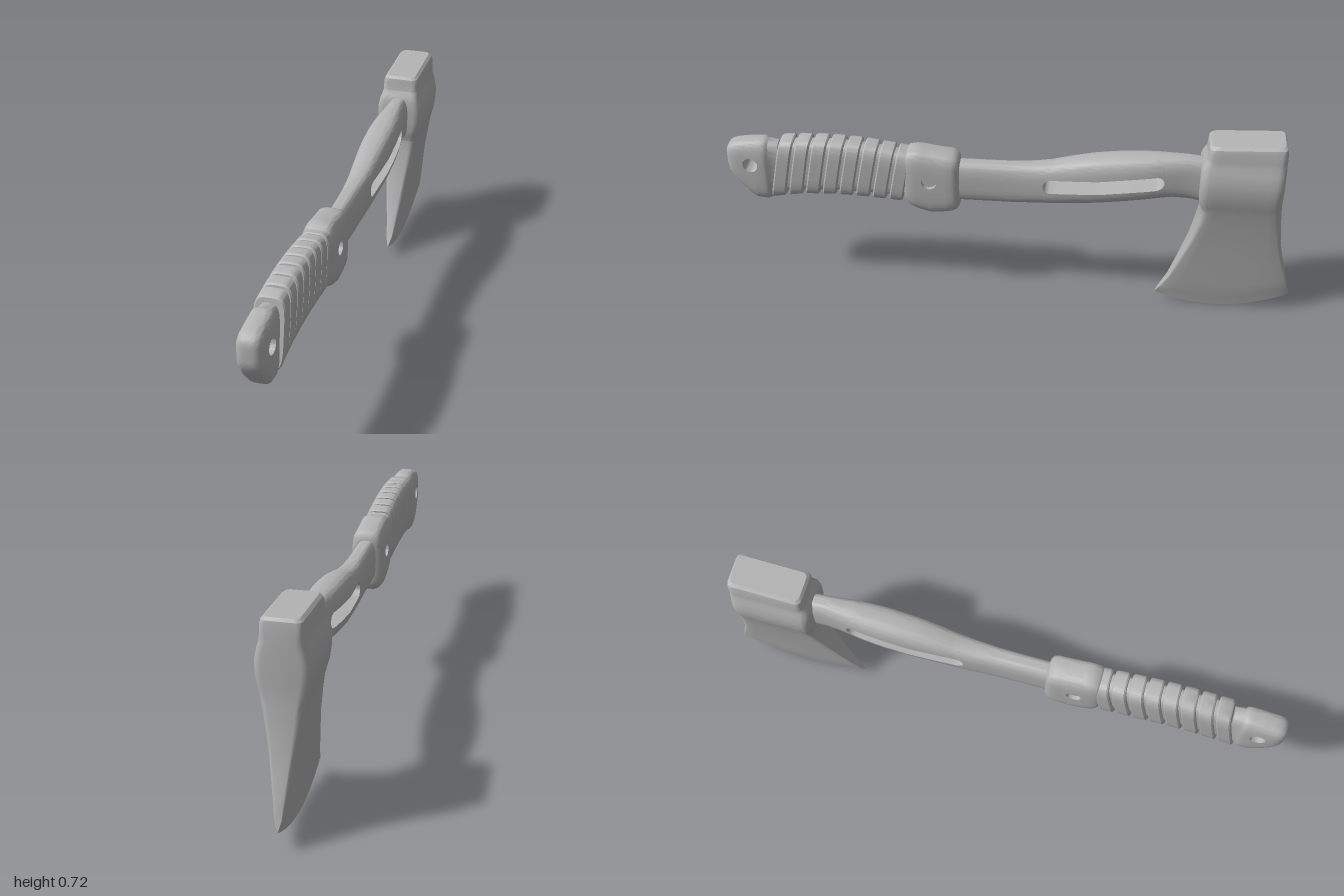
import * as THREE from 'three';
import { mergeGeometries, toCreasedNormals } from 'three/addons/utils/BufferGeometryUtils.js';

const steel = new THREE.MeshStandardMaterial({ color: 0xb4b4b4 });
steel.name = 'grey steel';

// Linear interpolation through [t, value] pairs sorted by t
const lut = (pts) => (t) => {
  let i = 1;
  while (i < pts.length - 1 && t > pts[i][0]) i++;
  const [a, b] = [pts[i - 1], pts[i]];
  return THREE.MathUtils.lerp(a[1], b[1], THREE.MathUtils.clamp((t - a[0]) / (b[0] - a[0]), 0, 1));
};

// Complete a ring from its +x half
const mirrorRing = (half) => half.concat([...half].reverse().map(([x, y, z]) => [-x, y, z]));

// Skin a list of equal-sized rings and close both ends
function loft(rings) {
  const n = rings[0].length, pos = rings.flat(2), idx = [];
  for (let r = 0; r < rings.length - 1; r++) {
    for (let i = 0; i < n; i++) {
      const j = (i + 1) % n, a = r * n, b = a + n;
      idx.push(a + i, a + j, b + j, a + i, b + j, b + i);
    }
  }
  [0, rings.length - 1].forEach((r, end) => {
    const c = pos.length / 3;
    for (let k = 0; k < 3; k++) pos.push(rings[r].reduce((s, p) => s + p[k], 0) / n);
    for (let i = 0; i < n; i++) {
      const a = r * n + i, b = r * n + (i + 1) % n;
      idx.push(c, ...(end ? [a, b] : [b, a]));
    }
  });
  const g = new THREE.BufferGeometry();
  g.setAttribute('position', new THREE.Float32BufferAttribute(pos, 3));
  g.setIndex(idx);
  return g;
}

function mesh(name, geometry, crease = 0.6) {
  const m = new THREE.Mesh(toCreasedNormals(geometry, crease), steel);
  m.name = name;
  return m;
}

// Handle piece along z, skinned as an upper and a lower half that part around a hole
function handlePart(name, { stations, lo, hi, w, n = 3, cut, hole, shear = 0 }) {
  const list = [...stations];
  if (hole) {
    for (let i = 0; i <= 7; i++) {
      const d = hole.r * (1 - Math.cos(i * Math.PI / 14));
      list.push([hole.z0 + d, 0], [hole.z1 - d, 0]);
    }
    list.sort((a, b) => a[0] - b[0]);
  }
  const gap = (z) => {
    if (!hole) return 0;
    const e = Math.min(z - hole.z0, hole.z1 - z);
    if (e <= 0) return 0;
    return e >= hole.r ? hole.h : hole.h * Math.sqrt(1 - (1 - e / hole.r) ** 2);
  };
  const angle = (u) => Math.sign(u) * Math.asin(Math.min(1, Math.abs(u) ** (n / 2)));
  const half = (upper) => loft(list.map(([z, inset]) => {
    const y0 = lo(z) + inset, y1 = hi(z) - inset, mid = (y0 + y1) / 2, hy = (y1 - y0) / 2;
    const split = angle((cut(z) + (upper ? gap(z) : -gap(z)) - mid) / hy);
    const from = upper ? split : -Math.PI / 2, to = upper ? Math.PI / 2 : split;
    const side = [];
    for (let i = 0; i <= 12; i++) {
      const a = from + (to - from) * i / 12, s = Math.sin(a);
      const y = mid + hy * Math.sign(s) * Math.abs(s) ** (2 / n);
      const x = (w(z) - inset) * Math.max(0, Math.cos(a)) ** (2 / n);
      side.push([x, y, z - shear * (y - 0.5)]);
    }
    return mirrorRing(side);
  }));
  return mesh(name, mergeGeometries([half(true), half(false)]));
}

// Evenly spaced stations without inset
const steps = (a, b, n) => Array.from({ length: n + 1 }, (_, i) => [a + (b - a) * i / n, 0]);

function makeHead() {
  // y, front z, back z, half width, corner radius
  const rows = [
    [0, -0.52, -1, 0.001, 0.0005], [0.045, -0.538, -0.99, 0.012, 0.004],
    [0.1, -0.562, -0.981, 0.018, 0.006], [0.2, -0.595, -0.96, 0.03, 0.01],
    [0.3, -0.627, -0.942, 0.042, 0.014], [0.4, -0.65, -0.932, 0.058, 0.02],
    [0.45, -0.657, -0.928, 0.067, 0.024], [0.475, -0.648, -0.926, 0.073, 0.026],
    [0.5, -0.644, -0.925, 0.08, 0.028], [0.54, -0.643, -0.925, 0.086, 0.028],
    [0.58, -0.643, -0.925, 0.087, 0.028], [0.62, -0.643, -0.925, 0.079, 0.027],
    [0.645, -0.65, -0.925, 0.071, 0.025], [0.665, -0.66, -0.924, 0.068, 0.022],
    [0.7, -0.662, -0.923, 0.067, 0.02], [0.714, -0.664, -0.921, 0.063, 0.02],
    [0.723, -0.672, -0.913, 0.053, 0.018],
  ];
  const rings = rows.map(([y, zf, zb, w, r]) => {
    const side = [];
    for (let i = 0; i <= 4; i++) {
      const a = i * Math.PI / 8;
      side.push([w - r + r * Math.sin(a), zf - r + r * Math.cos(a)]);
    }
    for (let i = 1; i < 10; i++) side.push([w, zf - r + (zb - zf + 2 * r) * i / 10]);
    for (let i = 0; i <= 4; i++) {
      const a = i * Math.PI / 8;
      side.push([w - r + r * Math.cos(a), zb + r - r * Math.sin(a)]);
    }
    // Curved cutting edge below, sloping poll above
    const bow = Math.max(0, 1 - y / 0.45);
    const tilt = THREE.MathUtils.smoothstep(y, 0.6, 0.7) * 0.05;
    return mirrorRing(side.map(([x, z]) =>
      [x, y + 0.07 * bow * ((z + 0.73) / 0.27) ** 2 - tilt * (z + 0.92), z]));
  });
  return mesh('axeHead', loft(rings), 0.5);
}

export function createModel() {
  const axe = new THREE.Group();
  axe.name = 'hatchet';
  axe.add(makeHead());

  // Shaft with long slot
  axe.add(handlePart('shaft', {
    stations: steps(-0.72, 0.22, 40),
    hi: lut([[-0.66, 0.63], [-0.6, 0.636], [-0.5, 0.635], [-0.42, 0.63], [-0.35, 0.623], [-0.27, 0.611],
      [-0.2, 0.595], [-0.14, 0.579], [-0.08, 0.57], [0, 0.565], [0.2, 0.563]]),
    lo: lut([[-0.66, 0.46], [-0.62, 0.472], [-0.55, 0.476], [-0.45, 0.46], [-0.3, 0.436], [-0.15, 0.42],
      [0, 0.41], [0.2, 0.407]]),
    w: lut([[-0.66, 0.036], [-0.6, 0.038], [-0.54, 0.045], [-0.47, 0.054], [-0.4, 0.058], [-0.3, 0.057],
      [-0.2, 0.051], [-0.1, 0.044], [0, 0.038], [0.1, 0.036], [0.2, 0.036]]),
    cut: lut([[-0.66, 0.55], [-0.52, 0.547], [-0.4, 0.533], [-0.3, 0.517], [-0.11, 0.501], [0.2, 0.49]]),
    hole: { z0: -0.525, z1: -0.11, r: 0.028, h: 0.027 },
  }));

  // Collar with a recessed pin
  axe.add(handlePart('collar', {
    stations: [[0.178, 0.03], [0.181, 0.014], [0.19, 0.004], [0.205, 0], [0.23, 0], [0.33, 0],
      [0.355, 0.001], [0.367, 0.006], [0.374, 0.018]],
    hi: lut([[0.18, 0.592], [0.25, 0.6], [0.32, 0.61], [0.35, 0.607], [0.375, 0.595]]),
    lo: lut([[0.18, 0.375], [0.22, 0.363], [0.28, 0.355], [0.32, 0.366], [0.375, 0.392]]),
    w: () => 0.056, n: 4, cut: () => 0.497,
    hole: { z0: 0.257, z1: 0.309, r: 0.026, h: 0.026 },
  }));
  const pin = mesh('collarPin', new THREE.CylinderGeometry(0.028, 0.028, 0.084, 24).rotateZ(Math.PI / 2));
  pin.position.set(0, 0.497, 0.283);
  axe.add(pin);

  // Grip wrapped in slanted bands
  const bands = [], pitch = 0.0595;
  for (let i = 0; i < 8; i++) {
    const a = 0.363 + i * pitch, b = a + pitch - 0.011;
    bands.push([a, 0.014], [a, 0.004], [a + 0.005, 0], [b - 0.005, 0], [b, 0.004], [b, 0.014]);
  }
  axe.add(handlePart('gripWrap', {
    stations: bands,
    hi: lut([[0.35, 0.592], [0.45, 0.608], [0.55, 0.62], [0.65, 0.625], [0.75, 0.622], [0.85, 0.611]]),
    lo: lut([[0.35, 0.396], [0.5, 0.405], [0.62, 0.407], [0.72, 0.4], [0.85, 0.375]]),
    w: () => 0.053, n: 4, cut: () => 0.51, shear: 0.2,
  }));

  // Pommel with lanyard hole
  axe.add(handlePart('pommel', {
    stations: [[0.815, 0.012], [0.85, 0.008], [0.857, 0.002], [0.868, 0], [0.88, 0], [0.95, 0],
      [0.965, 0], [0.98, 0.002], [0.992, 0.007], [0.998, 0.016], [1, 0.025]],
    hi: lut([[0.82, 0.61], [0.87, 0.61], [0.92, 0.605], [0.96, 0.598], [1, 0.588]]),
    lo: lut([[0.82, 0.375], [0.87, 0.366], [0.905, 0.37], [0.925, 0.385], [0.96, 0.425], [0.985, 0.46], [1, 0.48]]),
    w: lut([[0.82, 0.047], [0.9, 0.047], [1, 0.042]]),
    n: 3.5, cut: () => 0.518,
    hole: { z0: 0.888, z1: 0.942, r: 0.027, h: 0.027 },
  }));
  return axe;
}
